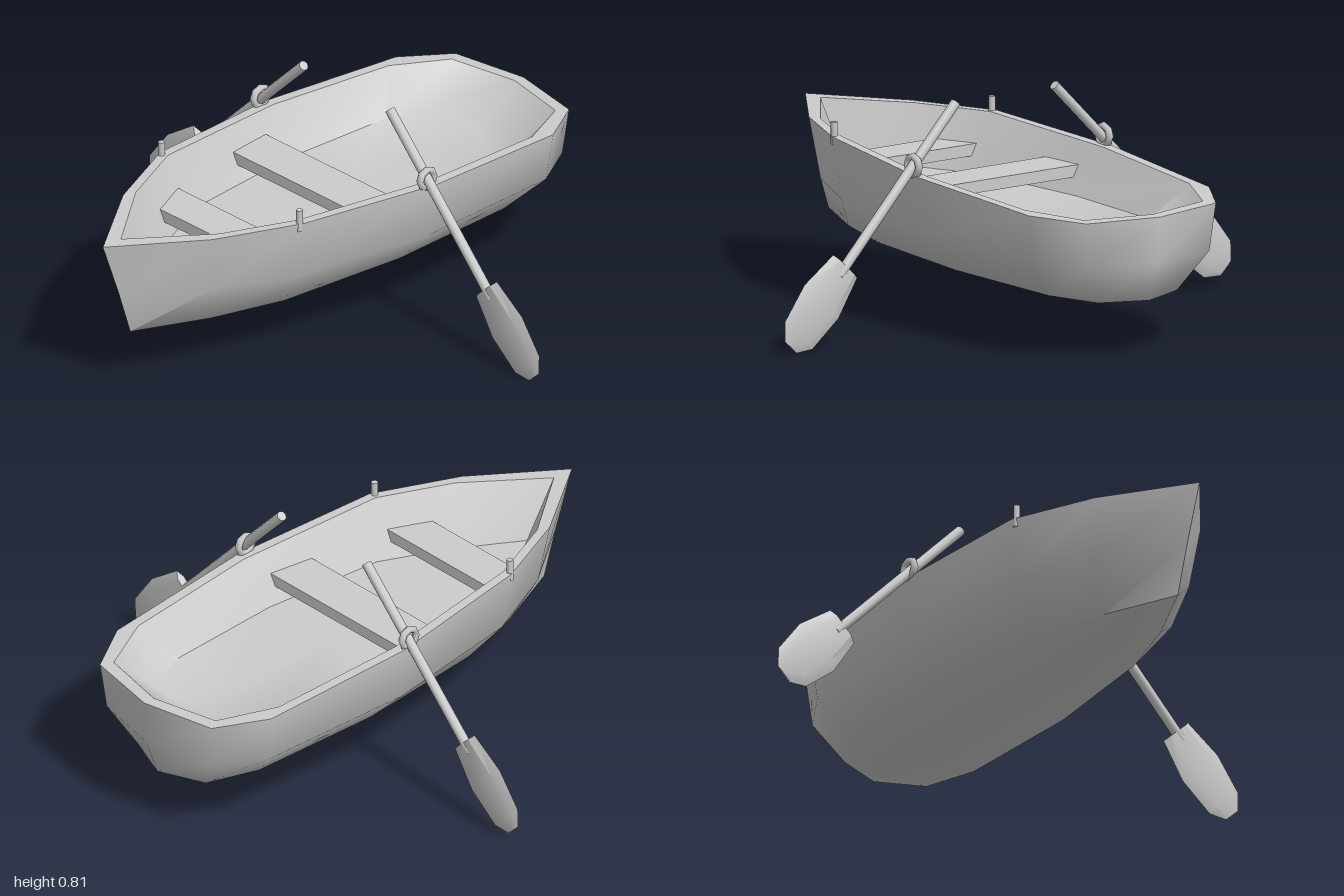
import * as THREE from 'three';
import { toCreasedNormals } from 'three/addons/utils/BufferGeometryUtils.js';

const material = new THREE.MeshStandardMaterial({ color: 0xcccccc });

function addMesh(parent, name, geometry) {
  const mesh = new THREE.Mesh(geometry, material);
  mesh.name = name;
  parent.add(mesh);
  return mesh;
}

// Skins closed rings of [x, y, z] points, stacked upwards and counterclockwise from above
function loft(rings, crease) {
  const positions = [];
  const triangle = (...corners) => {
    const [a, b, c] = corners.map((p) => new THREE.Vector3(...p));
    if (b.clone().sub(a).cross(c.clone().sub(a)).length() < 1e-8) return;
    for (const v of [a, b, c]) positions.push(v.x, v.y, v.z);
  };
  for (let i = 0; i < rings.length - 1; i++) {
    const n = rings[i].length;
    for (let j = 0; j < n; j++) {
      const k = (j + 1) % n;
      triangle(rings[i][j], rings[i][k], rings[i + 1][k]);
      triangle(rings[i][j], rings[i + 1][k], rings[i + 1][j]);
    }
  }
  const geometry = new THREE.BufferGeometry();
  geometry.setAttribute('position', new THREE.Float32BufferAttribute(positions, 3));
  return toCreasedNormals(geometry, crease);
}

// Mirrors a half outline of [x, z], bow to stern, into a full ring at height(z)
function outline(half, height) {
  const side = half.map(([x, z]) => [x, height(z), z]);
  const mirrored = side.slice(1, -1).reverse().map(([x, y, z]) => [-x, y, z]);
  return [...side, ...mirrored];
}

const centreline = (ring) => ring.map(([, y, z]) => [0, y, z]);

function buildHull() {
  const hull = new THREE.Group();
  hull.name = 'hull';
  const rimY = (z) => 0.59 - Math.max(0, 0.38 - z) * 0.065;

  const bottom = outline(
    [[0, 0.87], [0.12, 0.6], [0.2, 0.33], [0.25, -0.17], [0.235, -0.68], [0.17, -0.87], [0, -0.94]],
    (z) => 0.206 + z * 0.008);
  const bilge = outline(
    [[0, 0.925], [0.195, 0.66], [0.325, 0.37], [0.4, -0.17], [0.37, -0.75], [0.265, -0.93], [0, -0.99]],
    (z) => 0.36 + z * 0.025);
  const outerRim = outline(
    [[0, 1], [0.222, 0.69], [0.355, 0.385], [0.42, -0.18], [0.388, -0.767], [0.28, -0.947], [0, -1]], rimY);
  const innerRim = outline(
    [[0, 0.915], [0.206, 0.645], [0.322, 0.38], [0.382, -0.18], [0.354, -0.7], [0.256, -0.905], [0, -0.958]], rimY);
  const floor = outline(
    [[0, 0.79], [0.14, 0.56], [0.25, 0.32], [0.287, -0.15], [0.26, -0.6], [0.2, -0.78], [0, -0.82]],
    () => 0.39);

  addMesh(hull, 'outerHull', loft([centreline(bottom), bottom, bilge, outerRim], 1.3));
  addMesh(hull, 'gunwale', loft([outerRim, innerRim], 0.5));
  addMesh(hull, 'innerHull', loft([innerRim, floor, centreline(floor)], 0.9));
  return hull;
}

// Tapered plank spanning the hull between zBack and zFront
function seatGeometry(zBack, halfBack, zFront, halfFront) {
  const plank = (y) => [
    [halfFront, y, zFront], [halfBack, y, zBack], [-halfBack, y, zBack], [-halfFront, y, zFront],
  ];
  const low = plank(0.443);
  const high = plank(0.485);
  const middle = (ring) => ring.map(([, y, z]) => [0, y, z]);
  return loft([middle(low), low, high, middle(high)], 0.5);
}

// Oar with its handle end at the origin, pointing along +y
function buildOar() {
  const oar = new THREE.Group();
  const length = 0.74;
  const shaft = new THREE.CylinderGeometry(0.018, 0.018, length, 8);
  shaft.translate(0, length / 2, 0);
  addMesh(oar, 'oarShaft', shaft);

  // Blade sections: distance along the oar, half width, half thickness
  const sections = [
    [0.7, 0, 0], [0.7, 0.07, 0.014], [0.85, 0.1, 0.016], [0.995, 0.081, 0.012], [1.045, 0.034, 0.003], [1.045, 0, 0],
  ];
  const rings = sections.map(([y, w, t]) => [
    [w, y, 0], [w * 0.6, y, -t], [-w * 0.6, y, -t], [-w, y, 0], [-w * 0.6, y, t], [w * 0.6, y, t],
  ]);
  addMesh(oar, 'oarBlade', loft(rings, 0.4));
  return oar;
}

export function createModel() {
  const boat = new THREE.Group();
  boat.name = 'rowingBoat';
  boat.add(buildHull());

  addMesh(boat, 'middleSeat', seatGeometry(-0.1, 0.34, 0.07, 0.322));
  addMesh(boat, 'bowSeat', seatGeometry(0.385, 0.27, 0.535, 0.22));

  // Oars lie at slightly different angles on the two sides
  const oarPoses = [
    { side: 'left', sign: 1, handle: [0.228, 0.785], slope: [0.681, -0.732] },
    { side: 'right', sign: -1, handle: [-0.197, 0.79], slope: [-0.707, -0.707] },
  ];
  const up = new THREE.Vector3(0, 1, 0);
  for (const { side, sign, handle, slope } of oarPoses) {
    const oar = buildOar();
    oar.name = side + 'Oar';
    oar.position.set(handle[0], handle[1], -0.145);
    oar.quaternion.setFromUnitVectors(up, new THREE.Vector3(slope[0], slope[1], 0).normalize());
    boat.add(oar);

    // Ring holding the oar on the gunwale
    const lock = addMesh(boat, side + 'Oarlock', new THREE.TorusGeometry(0.033, 0.013, 6, 8));
    lock.position.set(sign * 0.411, 0.587, -0.145);
    lock.rotation.y = Math.PI / 2;

    // Short peg standing on the gunwale near the bow
    const peg = addMesh(boat, side + 'Peg', new THREE.CylinderGeometry(0.012, 0.012, 0.08, 8));
    peg.position.set(sign * 0.34, 0.6, 0.393);
  }
  return boat;
}
